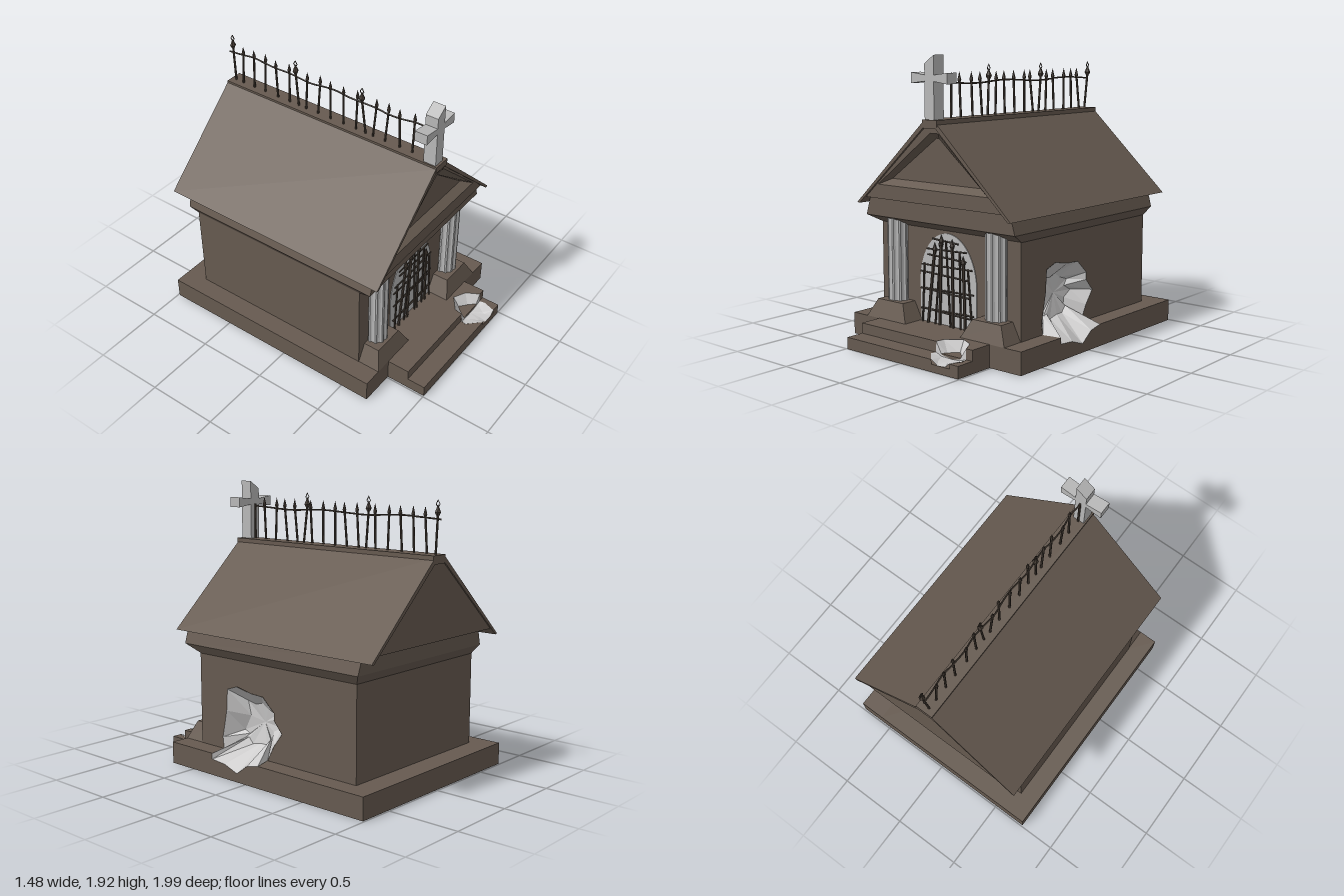
import * as THREE from 'three';

const mat = (name, color, side = THREE.FrontSide) => {
  const m = new THREE.MeshStandardMaterial({ color, side, flatShading: true });
  m.name = name;
  return m;
};

export function createModel() {
  const root = new THREE.Group();
  root.name = 'mausoleum';
  const stone = mat('brown stone', 0x665a50);
  const marble = mat('grey marble', 0xb8b8b8);
  const rubble = mat('broken stone', 0xcbcaca, THREE.DoubleSide);
  const iron = mat('rusted iron', 0x463d35);

  const add = (name, geo, material, parent = root) => {
    const m = new THREE.Mesh(geo, material);
    m.name = name;
    parent.add(m);
    return m;
  };
  const group = (name) => {
    const g = new THREE.Group();
    g.name = name;
    root.add(g);
    return g;
  };
  const box = (name, x0, x1, y0, y1, z0, z1, material = stone) =>
    add(name, new THREE.BoxGeometry(x1 - x0, y1 - y0, z1 - z0)
      .translate((x0 + x1) / 2, (y0 + y1) / 2, (z0 + z1) / 2), material);
  const shapeOf = (pts) => new THREE.Shape(pts.map(([a, b]) => new THREE.Vector2(a, b)));
  const extrude = (pts, depth) =>
    new THREE.ExtrudeGeometry(shapeOf(pts), { depth, bevelEnabled: false });
  // (z, y) profile extruded along x
  const alongX = (pts, x0, x1) =>
    extrude(pts.map(([z, y]) => [-z, y]), x1 - x0).rotateY(Math.PI / 2).translate(x0, 0, 0);
  // (x, z) plan extruded along y
  const alongY = (pts, y0, y1) =>
    extrude(pts.map(([x, z]) => [x, -z]), y1 - y0).rotateX(-Math.PI / 2).translate(0, y0, 0);

  const fromTriangles = (pos) => {
    const g = new THREE.BufferGeometry();
    g.setAttribute('position', new THREE.Float32BufferAttribute(pos, 3));
    g.computeVertexNormals();
    return g;
  };
  // Skin cross-sections, optionally closing the two ends
  const loft = (rings, start = true, end = true) => {
    const p = [], n = rings[0].length;
    for (let r = 0; r + 1 < rings.length; r++) {
      for (let i = 0; i < n; i++) {
        const j = (i + 1) % n, a = rings[r], b = rings[r + 1];
        p.push(...a[i], ...a[j], ...b[j], ...a[i], ...b[j], ...b[i]);
      }
    }
    const last = rings[rings.length - 1], first = rings[0];
    for (let i = 1; i + 1 < n; i++) {
      if (end) p.push(...last[0], ...last[i], ...last[i + 1]);
      if (start) p.push(...first[0], ...first[i + 1], ...first[i]);
    }
    return fromTriangles(p);
  };
  const rect = (y, x0, x1, z0, z1) => [[x1, y, z1], [x1, y, z0], [x0, y, z0], [x0, y, z1]];
  // Broken hollow: rim, jagged middle ring, deep centre
  const hollow = (rim, centre, t, flatten) => {
    const mid = rim.map((p, i) => p.map((v, k) => {
      const s = k === flatten ? 0.85 : t + (i % 2 ? 0.08 : -0.06);
      return v + (centre[k] - v) * s;
    }));
    return loft([rim, mid, mid.map(() => centre)], false, false);
  };

  // Plinth, with the left edge broken away below the wall breach
  box('plinth', -0.74, 0.56, 0, 0.15, -0.99, 0.71);
  const plinthBreak = [[0.31, 0.15], [0.31, 0.11], [0.19, 0.1], [0.075, 0.06], [-0.02, 0.13], [-0.12, 0.15]];
  add('plinthLeftEdge', alongX([[0.71, 0], [0.71, 0.15], ...plinthBreak, [-0.99, 0.15], [-0.99, 0]], 0.56, 0.74), stone);

  // Walls, with a breach in the left one
  box('walls', -0.61, 0.47, 0.15, 0.79, -0.83, 0.55);
  const wallBreak = [[-0.08, 0.15], [-0.14, 0.26], [-0.21, 0.35], [-0.14, 0.43], [-0.14, 0.48], [-0.04, 0.57],
    [0.07, 0.575], [0.2, 0.6], [0.29, 0.57], [0.3, 0.42], [0.34, 0.23], [0.33, 0.15]];
  add('leftWall', alongX([[-0.83, 0.15], ...wallBreak, [0.55, 0.15], [0.55, 0.79], [-0.83, 0.79]], 0.47, 0.61), stone);
  add('wallBreach', hollow([
    ...wallBreak.map(([z, y]) => [0.611, y, z]),
    ...plinthBreak.map(([z, y]) => [0.741, y, z]),
  ], [0.485, 0.36, 0.06], 0.45, 0), rubble);

  // Steps with a chipped corner
  box('stepFooting', -0.49, 0.49, 0, 0.05, 0.7, 1);
  add('lowerStep', alongY([[-0.49, 0.7], [-0.49, 1], [0.27, 1], [0.18, 0.91], [0.19, 0.87],
    [0.44, 0.87], [0.45, 0.91], [0.42, 1], [0.49, 1], [0.49, 0.7]], 0.05, 0.08), stone);
  add('upperStep', alongY([[-0.49, 0.7], [-0.49, 0.87], [0.19, 0.87], [0.2, 0.81], [0.3, 0.735],
    [0.39, 0.78], [0.44, 0.87], [0.49, 0.87], [0.49, 0.7]], 0.08, 0.15), stone);
  add('stepChip', hollow([
    [0.19, 0.151, 0.87], [0.2, 0.151, 0.81], [0.3, 0.151, 0.735], [0.39, 0.151, 0.78], [0.44, 0.151, 0.87],
    [0.44, 0.081, 0.872], [0.45, 0.081, 0.91], [0.42, 0.081, 1.001], [0.39, 0.056, 1.001], [0.32, 0.051, 1.001],
    [0.27, 0.081, 1.001], [0.18, 0.081, 0.91], [0.19, 0.081, 0.872],
  ], [0.32, 0.06, 0.87], 0.4, 1), rubble);

  // Cornice flaring out over the columns
  add('cornice', loft([
    rect(0.78, -0.61, 0.61, -0.83, 0.545),
    rect(0.84, -0.65, 0.65, -0.87, 0.66),
    rect(0.94, -0.62, 0.62, -0.875, 0.66),
    rect(0.98, -0.6, 0.6, -0.875, 0.66),
  ]), stone);

  // Fluted columns on sloped pedestals
  for (const s of [-1, 1]) {
    const side = s > 0 ? 'left' : 'right';
    const span = (y, a, b, z) => rect(y, Math.min(s * a, s * b), Math.max(s * a, s * b), 0.5, z);
    add(side + 'Pedestal', loft([span(0.15, 0.245, 0.608, 0.71), span(0.27, 0.31, 0.545, 0.665)]), stone);
    const flutes = [];
    for (let i = 0; i < 40; i++) {
      const a = i / 40 * Math.PI * 2, r = i % 4 < 2 ? 0.077 : 0.069;
      flutes.push([s * 0.435 + Math.cos(a) * r, 0.57 + Math.sin(a) * r]);
    }
    add(side + 'Column', alongY(flutes, 0.27, 0.845), marble);
  }

  // Gable body with a recessed front pediment
  const gable = shapeOf([[-0.62, 0.97], [0.62, 0.97], [0.06, 1.47], [-0.05, 1.47]]);
  const gableRim = [[0.48, 1.065], [0.07, 1.43], [0, 1.43], [-0.48, 1.065]];
  const gableInner = [[0.4, 1.105], [0.025, 1.395], [0.005, 1.395], [-0.4, 1.105]];
  add('gableBody', new THREE.ExtrudeGeometry(gable, { depth: 1.63, bevelEnabled: false }).translate(0, 0, -0.98), stone);
  const frame = gable.clone();
  frame.holes.push(new THREE.Path(gableRim.map(([x, y]) => new THREE.Vector2(x, y))));
  add('pedimentFrame', new THREE.ExtrudeGeometry(frame, { depth: 0.06, bevelEnabled: false }).translate(0, 0, 0.65), stone);
  add('pedimentRecess', loft([
    gableRim.map(([x, y]) => [x, y, 0.71]),
    gableInner.map(([x, y]) => [x, y, 0.655]),
  ], false, true), stone);

  // Roof slab and ridge
  add('roof', extrude([[-0.67, 0.93], [-0.65, 0.925], [-0.05, 1.46], [0.06, 1.46], [0.65, 0.925], [0.67, 0.93],
    [0.06, 1.5], [-0.05, 1.5]], 1.715).translate(0, 0, -0.99), stone);
  box('ridgeCap', -0.05, 0.075, 1.47, 1.515, -0.99, 0.73);

  // Broken cross
  add('cross', extrude([[-0.04, 1.49], [0.04, 1.49], [0.04, 1.755], [0.152, 1.74], [0.152, 1.81], [0.04, 1.795],
    [0.04, 1.92], [-0.04, 1.865], [-0.04, 1.795], [-0.157, 1.81], [-0.157, 1.74], [-0.04, 1.755]], 0.09)
    .translate(0, 0, 0.625), marble);

  // Iron helpers
  const rod = (name, a, b, r, parent) => {
    const va = new THREE.Vector3(...a), vb = new THREE.Vector3(...b), d = vb.clone().sub(va);
    const m = add(name, new THREE.CylinderGeometry(r, r, d.length(), 6), iron, parent);
    m.position.copy(va).add(vb).multiplyScalar(0.5);
    m.quaternion.setFromUnitVectors(new THREE.Vector3(0, 1, 0), d.normalize());
  };
  const spear = (x, y, z, w, h, parent) =>
    add('spearHead', new THREE.LatheGeometry([[0, 0], [w * 0.5, 0], [w, h * 0.3], [0, h]]
      .map(([a, b]) => new THREE.Vector2(a, b)), 6).translate(x, y, z), iron, parent);

  // Arched doorway and bent grate
  const arch = new THREE.Shape();
  arch.moveTo(-0.245, 0.15);
  arch.lineTo(0.245, 0.15);
  arch.lineTo(0.25, 0.42);
  arch.absellipse(0, 0.42, 0.25, 0.345, 0, Math.PI, false);
  add('doorway', new THREE.ExtrudeGeometry(arch, { depth: 0.006, bevelEnabled: false, curveSegments: 20 })
    .translate(0, 0, 0.549), marble);
  const archHalf = (y) => y < 0.42 ? 0.245 : 0.25 * Math.sqrt(Math.max(0, 1 - ((y - 0.42) / 0.345) ** 2));
  const grate = group('doorGrate');
  [[-0.215, -0.195, 0.55], [-0.165, -0.1, 0.66], [-0.1, -0.045, 0.7], [-0.06, -0.04, 0.72], [0.035, 0.0, 0.72],
    [0.06, 0.055, 0.7], [0.125, 0.12, 0.66], [0.165, 0.15, 0.6], [0.225, 0.19, 0.55]].forEach(([x0, x1, y], i) => {
    rod('grateBar', [x0, 0.15, 0.572], [x1, y, 0.572], i % 2 ? 0.01 : 0.007, grate);
    if (i % 2 || i === 2) spear(x1, y - 0.03, 0.572, 0.017, 0.07, grate);
  });
  [0.235, 0.245, 0.37, 0.385, 0.485, 0.545, 0.605, 0.655, 0.715].forEach((y, i) => {
    const w = archHalf(y), k = i % 2 ? 0.006 : -0.006;
    rod('grateCrossbar', [-w * (i % 3 ? 0.95 : 0.8), y - k, 0.568], [w * (i % 2 ? 0.95 : 0.8), y + k, 0.568], 0.006, grate);
  });

  // Crooked ridge railing
  const rail = group('ridgeRailing');
  const line = [];
  for (let i = 0; i <= 16; i++) {
    line.push(new THREE.Vector3(0.008 * Math.sin(i * 1.9), 1.738 + 0.007 * Math.cos(i * 0.95), 0.63 - i * 0.101));
  }
  add('railingBar', new THREE.TubeGeometry(new THREE.CatmullRomCurve3(line), 48, 0.006, 5), iron, rail);
  // Foot z and top z of each picket; the third value marks a tall finial
  [[0.62, 0.62], [0.515, 0.52], [0.42, 0.42], [0.305, 0.325], [0.21, 0.235], [0.155, 0.13, 1], [0.075, 0.08],
    [-0.025, -0.02], [-0.13, -0.125], [-0.235, -0.22], [-0.335, -0.31], [-0.395, -0.417, 1], [-0.475, -0.475],
    [-0.575, -0.575], [-0.69, -0.68], [-0.785, -0.775], [-0.885, -0.86], [-0.95, -0.97, 1]].forEach(([z0, z1, tall], i) => {
    const x = 0.012 * Math.sin(i * 2.3);
    rod('picket', [0, 1.5, z0], [x, 1.76, z1], 0.008, rail);
    if (i > 0) spear(x, tall ? 1.755 : 1.735, z1, tall ? 0.021 : 0.013, tall ? 0.07 : 0.075, rail);
    if (tall) {
      add('finialRing', new THREE.TorusGeometry(0.018, 0.004, 4, 4).scale(0.8, 1.3, 1).rotateY(Math.PI / 2)
        .translate(x, 1.827, z1), iron, rail);
    }
  });

  return root;
}
